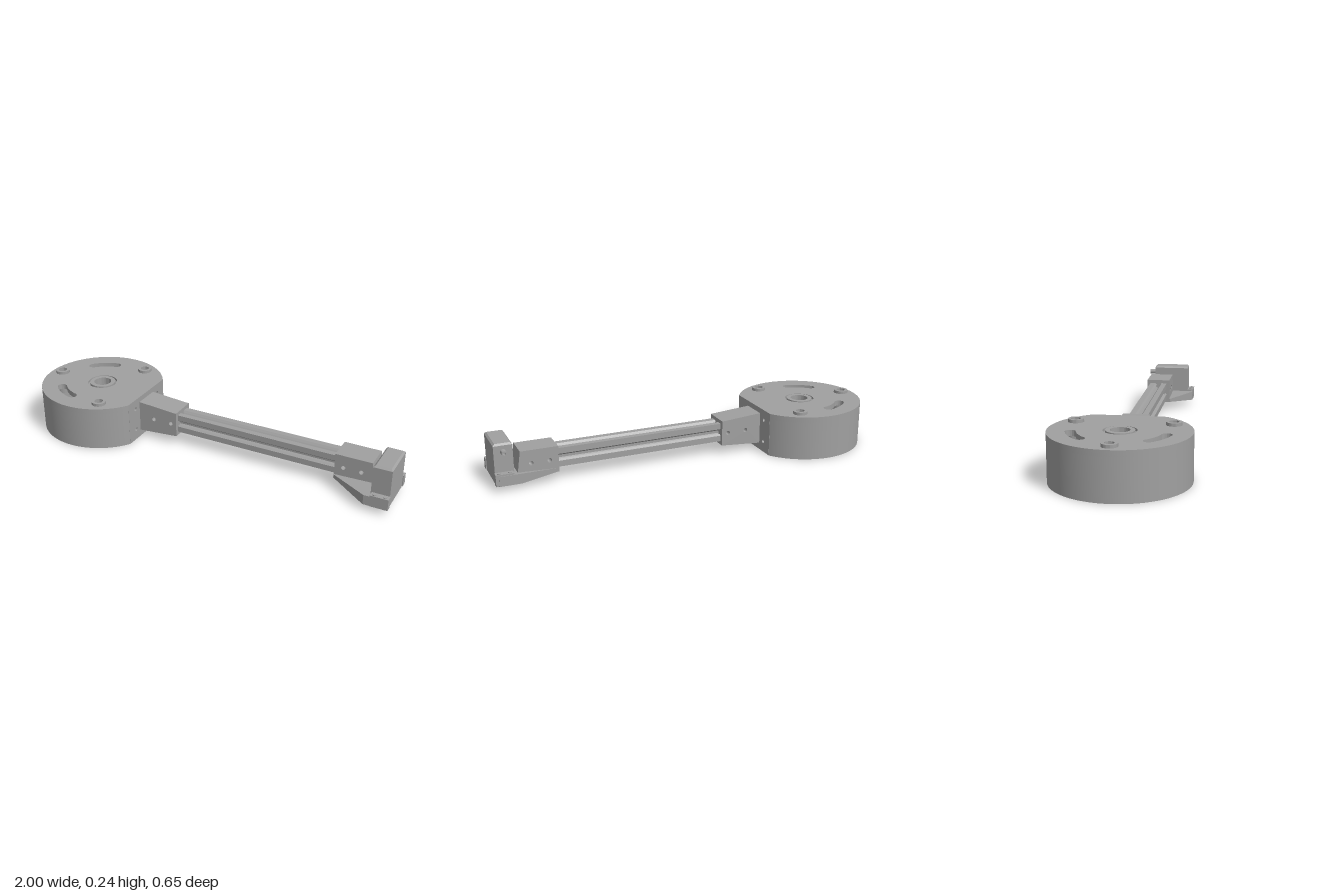
import * as THREE from 'three';
import { toCreasedNormals } from 'three/addons/utils/BufferGeometryUtils.js';

export function createModel() {
  const model = new THREE.Group();
  const grey = new THREE.MeshStandardMaterial({ color: 0xa0a0a0 });
  grey.name = 'machined grey';

  const add = (name, geo, x = 0, y = 0, z = 0, parent = model) => {
    const m = new THREE.Mesh(geo, grey);
    m.name = name;
    m.position.set(x, y, z);
    parent.add(m);
    return m;
  };
  const poly = (pts) => new THREE.Shape(pts.map(([a, b]) => new THREE.Vector2(a, b)));
  const circle = (x, y, r) => new THREE.Path().absarc(x, y, r, 0, Math.PI * 2, true);
  const extrude = (shape, depth, segs = 24) =>
    toCreasedNormals(new THREE.ExtrudeGeometry(shape, { depth, bevelEnabled: false, curveSegments: segs }), 0.5);
  // plan shape (x, -z) raised along y
  const plan = (shape, depth, segs) => extrude(shape, depth, segs).rotateX(-Math.PI / 2);
  const tube = (ro, ri, y0, y1) => {
    const s = new THREE.Shape().absarc(0, 0, ro, 0, Math.PI * 2);
    s.holes.push(circle(0, 0, ri));
    return plan(s, y1 - y0, 32).translate(0, y0, 0);
  };

  // Round housing, cut flat on the arm side and open underneath
  const housing = new THREE.Group();
  housing.name = 'housing';
  housing.position.x = -0.675;
  model.add(housing);
  const R = 0.325, Ri = 0.298, flat = 0.275, flatIn = 0.25;
  const a = Math.acos(flat / R), b = Math.acos(flatIn / Ri);
  const bosses = [[-0.265, 0], [0.128, 0.225], [0.128, -0.225]];

  const cap = new THREE.Shape().absarc(0, 0, R, a, Math.PI * 2 - a);
  cap.closePath();
  cap.holes.push(circle(0, 0, 0.077));
  bosses.forEach(([x, y]) => cap.holes.push(circle(x, y, 0.024)));
  for (const mid of [2.1, -2.1]) {
    const r = 0.218, w = 0.024, t0 = mid - 0.3, t1 = mid + 0.3;
    const slot = new THREE.Path();
    slot.absarc(0, 0, r + w, t0, t1, false);
    slot.absarc(r * Math.cos(t1), r * Math.sin(t1), w, t1, t1 + Math.PI, false);
    slot.absarc(0, 0, r - w, t1, t0, true);
    slot.absarc(r * Math.cos(t0), r * Math.sin(t0), w, t0 + Math.PI, t0 + Math.PI * 2, false);
    cap.holes.push(slot);
  }
  add('housingTop', plan(cap, 0.028, 64), 0, 0.2, 0, housing);

  const wall = new THREE.Shape().absarc(0, 0, R, a, Math.PI * 2 - a);
  wall.absarc(0, 0, Ri, Math.PI * 2 - b, b, true);
  wall.closePath();
  add('housingWall', plan(wall, 0.2, 64), 0, 0, 0, housing);

  const panel = poly([[-0.172, 0], [0.172, 0], [0.172, 0.2], [-0.172, 0.2]]);
  for (const z of [-0.108, 0.108])
    for (const y of [0.056, 0.175]) panel.holes.push(circle(z, y, 0.01));
  add('housingFlatWall', extrude(panel, flat - flatIn).rotateY(Math.PI / 2), flatIn, 0, 0, housing);

  // Mounting bosses through the top
  bosses.forEach(([x, y]) => {
    add('mountingBoss', tube(0.05, 0.022, 0.12, 0.2), x, 0, -y, housing);
    add('mountingCollar', tube(0.037, 0.022, 0.2, 0.243), x, 0, -y, housing);
  });

  // Central hub with bolted eight-sided flange
  add('hubSeat', tube(0.1, 0.045, 0.09, 0.215), 0, 0, 0, housing);
  add('hubRing', tube(0.067, 0.045, 0.215, 0.23), 0, 0, 0, housing);
  const ring = (n, r, off) => Array.from({ length: n }, (_, i) => {
    const t = (i / n) * Math.PI * 2 + off;
    return [r * Math.cos(t), r * Math.sin(t)];
  });
  const flange = poly(ring(8, 0.122, Math.PI / 8));
  flange.holes.push(circle(0, 0, 0.045));
  ring(6, 0.085, 0).forEach(([x, y]) => flange.holes.push(circle(x, y, 0.012)));
  add('hubFlange', plan(flange, 0.075), 0, 0.015, 0, housing);

  // Slotted square arm
  const quarter = [[0.048, 0.048], [0.048, 0.018], [0.039, 0.01], [0.039, 0.022], [0.022, 0.01],
    [0.022, -0.01], [0.039, -0.022], [0.039, -0.01], [0.048, -0.018]];
  const section = [];
  for (let k = 0; k < 4; k++) {
    const c = Math.round(Math.cos(k * Math.PI / 2)), s = Math.round(Math.sin(k * Math.PI / 2));
    quarter.forEach(([u, v]) => section.push([u * c + v * s, v * c - u * s]));
  }
  add('arm', extrude(poly(section), 1.25).rotateY(Math.PI / 2), -0.39, 0.118, 0);

  // Tapered sleeves at both arm ends, with cross holes
  const sleeve = (name, pts, holes, z0, z1) => {
    const s = poly(pts);
    holes.forEach((x) => s.holes.push(circle(x, 0.118, 0.011)));
    add(name, extrude(s, z1 - z0), 0, 0, z0);
  };
  sleeve('innerSleeve', [[-0.4, 0.035], [-0.18, 0.052], [-0.18, 0.184], [-0.4, 0.2]], [-0.315, -0.213], -0.068, 0.068);
  sleeve('outerSleeve', [[0.69, 0.06], [0.895, 0.06], [0.89, 0.09], [0.876, 0.184], [0.69, 0.184]],
    [0.735, 0.825], -0.066, 0.064);

  // Flared bracket base, its underside sloping down to the end
  const base = plan(poly([[0.69, -0.068], [0.88, -0.185], [0.985, -0.185], [0.985, 0.085], [0.88, 0.085], [0.69, 0.066]]), 0.05);
  const p = base.attributes.position;
  for (let i = 0; i < p.count; i++) {
    const t = Math.min(1, (p.getX(i) - 0.69) / 0.19);
    p.setY(i, p.getY(i) < 0.025 ? 0.054 - 0.024 * t : 0.072 + 0.008 * t);
  }
  add('bracketBase', toCreasedNormals(base, 0.5));

  // Servo with chamfered lid, ears, screws and output shaft
  const servo = new THREE.Group();
  servo.name = 'servo';
  servo.position.set(0.95, 0, 0.053);
  model.add(servo);
  add('servoBody', new THREE.BoxGeometry(0.092, 0.192, 0.2), 0, 0.124, 0, servo);
  const lid = new THREE.BoxGeometry(0.092, 0.009, 0.2);
  const q = lid.attributes.position;
  for (let i = 0; i < q.count; i++) {
    if (q.getY(i) > 0) q.setXYZ(i, q.getX(i) * 0.8, q.getY(i), q.getZ(i) * 0.91);
  }
  lid.computeVertexNormals();
  add('servoLid', lid, 0, 0.2245, 0, servo);
  for (const s of [-1, 1]) {
    add('servoEar', new THREE.BoxGeometry(0.09, 0.058, 0.033), 0.005, 0.059, s * 0.1175, servo);
    for (const x of [-0.022, 0.03])
      for (const y of [0.089, 0.029])
        add('earScrew', new THREE.CylinderGeometry(0.009, 0.009, 0.006, 16), x, y, s * 0.12, servo);
  }
  add('outputShaft', new THREE.CylinderGeometry(0.015, 0.015, 0.03, 24), 0, 0.022, -0.053, servo);
  add('cableBoss', tube(0.014, 0.007, 0, 0.034).rotateX(-Math.PI / 2), 0, 0.188, -0.1, servo);

  return model;
}
